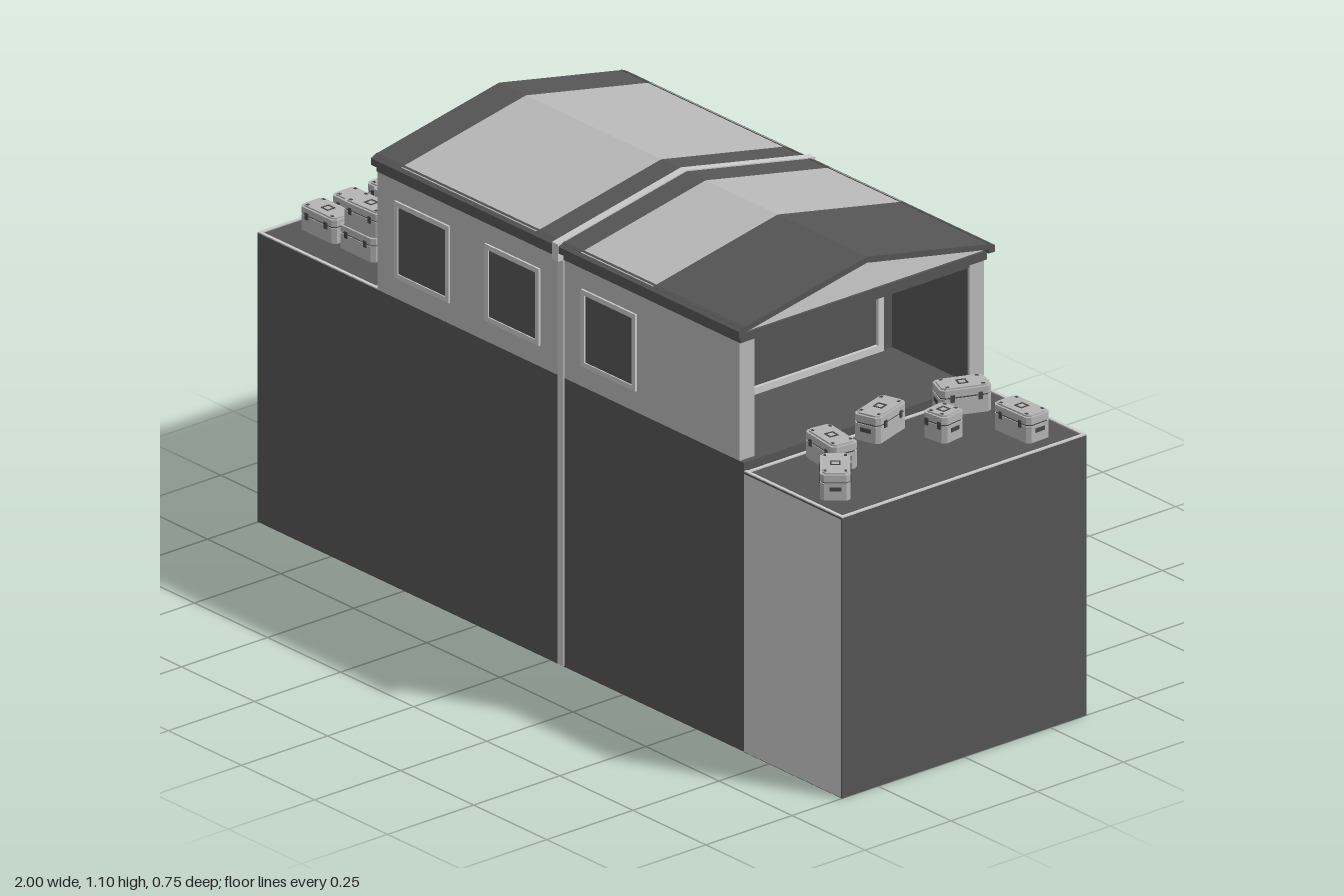
import * as THREE from 'three';

const mat = (color) => new THREE.MeshStandardMaterial({ color, flatShading: true });
const M = {
  light: mat(0xcccccc), wall: mat(0xb9b9b9), dark: mat(0x555555),
  black: mat(0x262626), crate: mat(0xb4b4b4), trim: mat(0x484848),
};

function add(parent, name, geometry, material) {
  const mesh = new THREE.Mesh(geometry, material);
  mesh.name = name;
  parent.add(mesh);
  return mesh;
}

// Box given by its limits on each axis
function box(parent, name, material, [x0, x1], [y0, y1], [z0, z1]) {
  const mesh = add(parent, name, new THREE.BoxGeometry(x1 - x0, y1 - y0, z1 - z0), material);
  mesh.position.set((x0 + x1) / 2, (y0 + y1) / 2, (z0 + z1) / 2);
  return mesh;
}

// Cross-section in (z, y) swept along x
function sweep(parent, name, material, points, x0, x1) {
  const shape = new THREE.Shape(points.map(([z, y]) => new THREE.Vector2(z, y)));
  const geo = new THREE.ExtrudeGeometry(shape, { depth: x1 - x0, bevelEnabled: false });
  geo.rotateY(Math.PI / 2).translate(x0, 0, 0);
  return add(parent, name, geo, material);
}

// Symmetric profile from its +z half
const mirrored = (half) => [...half, ...half.filter(([z]) => z !== 0).reverse().map(([z, y]) => [-z, y])];

// Flat rectangular ring, centred, facing +z
function ring(w, h, t, depth) {
  const rect = (Type, a, b) => new Type([[-a, -b], [a, -b], [a, b], [-a, b]].map((p) => new THREE.Vector2(...p)));
  const shape = rect(THREE.Shape, w / 2, h / 2);
  shape.holes.push(rect(THREE.Path, w / 2 - t, h / 2 - t));
  return new THREE.ExtrudeGeometry(shape, { depth, bevelEnabled: false });
}

// Block with chamfered vertical edges, standing on y
function chamferBlock(w, h, d, c, y) {
  const a = w / 2, b = d / 2;
  const shape = new THREE.Shape([
    [-a + c, -b], [a - c, -b], [a, -b + c], [a, b - c], [a - c, b], [-a + c, b], [-a, b - c], [-a, -b + c],
  ].map((p) => new THREE.Vector2(...p)));
  return new THREE.ExtrudeGeometry(shape, { depth: h, bevelEnabled: false }).rotateX(-Math.PI / 2).translate(0, y, 0);
}

function crate(parent, x, y, z, degrees = 0, w = 0.12, h = 0.06, d = 0.068) {
  const g = new THREE.Group();
  g.name = 'crate';
  add(g, 'crateBody', chamferBlock(w, h * 0.62, d, 0.009, 0), M.crate);
  add(g, 'crateSeam', chamferBlock(w - 0.004, h * 0.06, d - 0.004, 0.009, h * 0.62), M.trim);
  add(g, 'crateLid', chamferBlock(w, h * 0.26, d, 0.009, h * 0.68), M.crate);
  add(g, 'crateTop', chamferBlock(w - 0.01, h * 0.06, d - 0.01, 0.008, h * 0.94), M.crate);
  const s = h / 0.06;
  // Raised plate outline on the lid
  add(g, 'lidPlate', ring(0.024, 0.024, 0.004, 0.001).rotateX(-Math.PI / 2).translate(0, h, 0), M.trim);
  for (const sx of [-1, 1]) {
    const hx = sx * w / 2;
    box(g, 'crateHandle', M.trim, [hx - 0.002, hx + 0.002], [h * 0.35, h * 0.5], [-d * 0.2, d * 0.2]);
    for (const sz of [-1, 1]) {
      const lx = sx * w * 0.27, lz = sz * d / 2;
      box(g, 'latch', M.trim, [lx - 0.005, lx + 0.005], [0.03 * s, 0.046 * s], [lz - 0.002, lz + 0.002]);
      const tx = sx * (w / 2 - 0.018), tz = sz * (d / 2 - 0.011);
      box(g, 'lidStud', M.trim, [tx - 0.004, tx + 0.004], [h - 0.001, h + 0.001], [tz - 0.003, tz + 0.003]);
    }
  }
  g.position.set(x, y, z);
  g.rotation.y = THREE.MathUtils.degToRad(degrees);
  parent.add(g);
}

export function createModel() {
  const model = new THREE.Group();
  model.name = 'hangarBlock';
  const Z = 0.355;

  // Solid base with a lower bay at the +x end
  const base = new THREE.Group();
  base.name = 'base';
  model.add(base);
  box(base, 'mainBase', M.dark, [-1, 0.665], [0, 0.698], [-Z, Z]);
  box(base, 'bayBase', M.light, [0.665, 0.997], [0, 0.672], [-Z, Z]);
  box(base, 'bayEnd', M.dark, [0.997, 1], [0, 0.672], [-Z, Z]);
  box(base, 'bayDeck', M.dark, [0.665, 1], [0.672, 0.676], [-Z, Z]);
  box(base, 'baseUnderside', M.dark, [0.665, 1], [-0.001, 0], [-Z, Z]);

  // Pale edging round both decks
  for (const [x0, x1, y, inner, outer] of [[-1, -0.59, 0.698, -0.6, -1], [0.665, 1, 0.676, 0.672, 1]]) {
    for (const s of [-1, 1]) {
      const zs = s > 0 ? [Z - 0.008, Z] : [-Z, -Z + 0.008];
      box(base, 'deckEdge', M.light, [x0, x1], [y, y + 0.003], zs);
    }
    for (const x of [inner, outer - Math.sign(outer) * 0.004]) {
      box(base, 'deckEdge', M.light, [x - 0.004, x + 0.004], [y, y + 0.003], [-Z, Z]);
    }
  }

  // House: closed middle room with an open porch at each end
  const house = new THREE.Group();
  house.name = 'house';
  model.add(house);
  box(house, 'middleRoom', M.wall, [-0.38, 0.38], [0.698, 0.985], [-Z, Z]);
  for (const s of [-1, 1]) {
    const end = s > 0 ? 0.65 : -0.59;
    const span = (a, b) => [Math.min(a, b), Math.max(a, b)];
    for (const side of [-1, 1]) {
      box(house, 'porchWall', M.wall, span(s * 0.38, end), [0.698, 0.985], span(side * 0.312, side * Z));
      box(house, 'porchLining', M.dark, span(s * 0.38, end - s * 0.004), [0.698, 0.976], span(side * 0.309, side * 0.312));
    }
    box(house, 'porchCeiling', M.dark, span(s * 0.38, end), [0.976, 0.985], [-0.312, 0.312]);
    box(house, 'porchBackWall', M.dark, span(s * 0.38, s * 0.388), [0.698, 0.976], [-0.31, 0.31]);
    box(house, 'porchLintel', M.black, span(s * 0.388, s * 0.4), [0.945, 0.976], [-0.31, 0.31]);
    const door = add(house, 'doorFrame', ring(0.56, 0.217, 0.017, 0.008), M.light);
    door.position.set(s * 0.388, 0.808, 0);
    door.rotation.y = s * Math.PI / 2;
  }

  // Three windows on each long wall
  for (const x of [-0.434, -0.125, 0.205]) {
    for (const s of [-1, 1]) {
      const win = new THREE.Group();
      win.name = 'window';
      add(win, 'windowFrame', ring(0.186, 0.186, 0.012, 0.005), M.light);
      add(win, 'windowPane', new THREE.BoxGeometry(0.164, 0.164, 0.004), M.dark);
      win.position.set(x, 0.842, s * Z);
      win.rotation.y = s > 0 ? 0 : Math.PI;
      house.add(win);
    }
  }

  // Roof: beam, gable filling and a shell in dark and pale bays
  const roof = new THREE.Group();
  roof.name = 'roof';
  model.add(roof);
  box(roof, 'eaveBeam', M.dark, [-0.59, 0.656], [0.985, 1.006], [-0.358, 0.358]);
  sweep(roof, 'gable', M.light, [[0.352, 1.006], [0, 1.08], [-0.352, 1.006]], -0.583, 0.65);
  const slope = mirrored([[0.362, 1.012], [0.362, 1.0255], [0, 1.097]]);
  const shell = [...slope, [0, 1.082]];
  const bays = [[-0.592, -0.5, 0], [-0.5, -0.037, 1], [-0.037, 0.115, 0], [0.115, 0.362, 1], [0.362, 0.667, 0]];
  for (const [x0, x1, pale] of bays) {
    sweep(roof, pale ? 'roofPanel' : 'roofShell', pale ? M.wall : M.dark, shell, x0, x1);
  }
  for (const s of [-1, 1]) {
    sweep(roof, 'eaveTrim', M.dark, [[s * 0.354, 1.004], [s * 0.372, 1.004], [s * 0.372, 1.02], [s * 0.354, 1.0285]], -0.592, 0.667);
  }

  // Pale band wrapping walls and roof
  sweep(model, 'band', M.light, mirrored([
    [0.358, 0.002], [0.358, 0.984], [0.374, 0.984], [0.374, 1.026], [0, 1.1],
  ]), 0.03, 0.05);

  // Crates in two columns on the high deck, the inner one stacked
  const cargo = new THREE.Group();
  cargo.name = 'cargo';
  model.add(cargo);
  const rows = [-0.262, -0.148, -0.054, 0.042, 0.143, 0.235];
  rows.forEach((z, i) => {
    crate(cargo, -0.9, 0.698, z);
    crate(cargo, -0.766, 0.698, z, 0);
    crate(cargo, -0.765 + (i % 2) * 0.008, 0.758, z - 0.004, (i % 3 - 1) * 2);
  });
  crate(cargo, -0.745, 0.82, -0.11, 12, 0.07, 0.066, 0.062);
  for (const [z, turn] of [[-0.24, -8], [-0.02, 15], [0.125, -25], [0.235, 5]]) {
    crate(cargo, -0.648, 0.698, z, turn, 0.065, 0.034, 0.058);
  }

  // Loose crates on the low deck
  for (const [x, z, turn, w] of [
    [0.715, -0.235, 68, 0.12], [0.902, -0.25, 2, 0.12], [0.805, -0.105, 8, 0.068],
    [0.7, -0.01, 108, 0.12], [0.752, 0.175, -8, 0.12], [0.877, 0.27, -40, 0.12],
  ]) crate(cargo, x, 0.68, z, turn, w, 0.065);

  return model;
}
